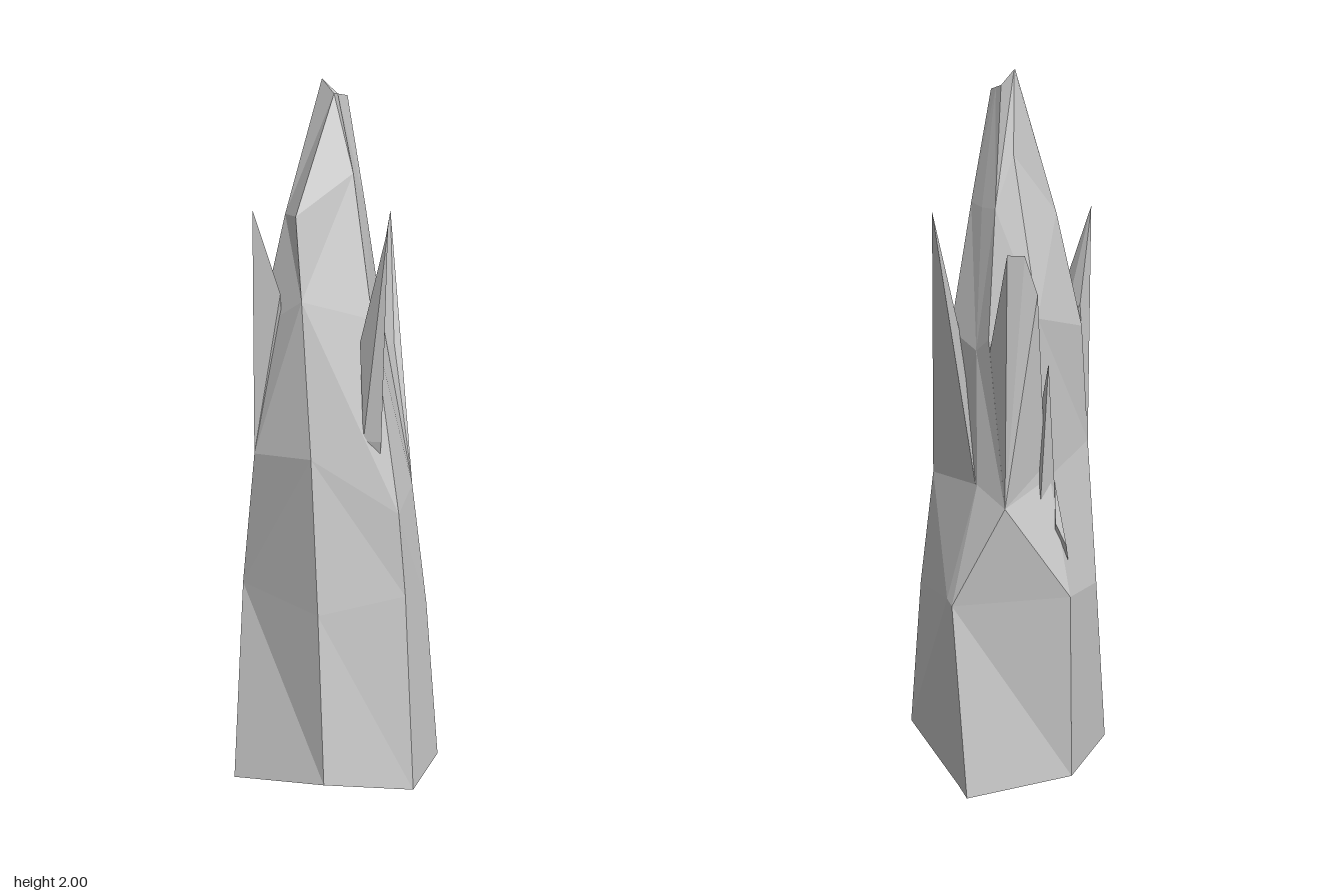
import * as THREE from 'three';
import { ConvexGeometry } from 'three/addons/geometries/ConvexGeometry.js';

const material = new THREE.MeshStandardMaterial({ color: 0xcccccc, flatShading: true, side: THREE.DoubleSide });

// Seven-sided cross-sections from the ground up; each corner is [x, y, z], in the
// order right, front right, front left, left, back left, back, back right.
const RINGS = [
  [[0.335, 0.02, 0], [0.2, 0.05, 0.215], [-0.11, 0, 0.29], [-0.292, 0.015, 0.04], [-0.22, 0, -0.27], [-0.16, 0.01, -0.262], [0.225, 0.04, -0.21]],
  [[0.298, 0.57, 0], [0.155, 0.52, 0.197], [-0.19, 0.55, 0.19], [-0.332, 0.59, 0], [-0.175, 0.57, -0.287], [-0.14, 0.58, -0.282], [0.2, 0.5, -0.182]],
  [[0.28, 0.8, 0.01], [0.113, 0.95, 0.185], [-0.08, 0.95, 0.23], [-0.255, 0.92, -0.02], [-0.28, 0.86, -0.18], [-0.16, 0.9, -0.195], [0.17, 0.85, -0.15]],
  [[0.17, 1.33, 0.01], [0.067, 1.38, 0.178], [-0.12, 1.3, 0.175], [-0.245, 1.36, -0.055], [-0.165, 1.3, -0.16], [-0.1, 1.26, -0.16], [0.03, 1.3, -0.165]],
  [[0.08, 1.73, 0], [0.04, 1.61, 0.175], [-0.09, 1.62, 0.105], [-0.115, 1.78, -0.05], [-0.115, 1.64, -0.108], [-0.05, 1.64, -0.11], [0.015, 1.65, -0.105]],
  [[0.015, 1.95, 0], [0.005, 1.95, 0.005], [-0.075, 2, -0.02], [-0.085, 2, -0.03], [-0.06, 1.96, -0.055], [-0.03, 1.955, -0.053], [0, 1.95, -0.05]],
];

// Which way each facet is split, one row per band and one digit per side
const SPLITS = ['0000010', '0100000', '0101010', '1010101', '0101010'];

// Skins the cross-sections with flat triangles and closes both ends
function loft(rings) {
  const pos = [];
  const tri = (a, b, c) => pos.push(...a, ...b, ...c);
  const n = rings[0].length;
  for (let r = 0; r < rings.length - 1; r++) {
    for (let i = 0; i < n; i++) {
      const j = (i + 1) % n;
      const a = rings[r][i], b = rings[r][j], c = rings[r + 1][j], d = rings[r + 1][i];
      if (SPLITS[r][i] === '1') { tri(b, a, d); tri(b, d, c); }
      else { tri(b, a, c); tri(a, d, c); }
    }
  }
  const low = rings[0], high = rings[rings.length - 1];
  for (let i = 1; i < n - 1; i++) {
    tri(low[0], low[i], low[i + 1]);
    tri(high[0], high[i + 1], high[i]);
  }
  const g = new THREE.BufferGeometry();
  g.setAttribute('position', new THREE.Float32BufferAttribute(pos, 3));
  g.computeVertexNormals();
  return g;
}

// Pointed splinters, each the hull of a few corners
const SPLINTERS = {
  frontSplinter: [[-0.08, 1.63, 0.23], [-0.015, 1.4, 0.185], [-0.11, 1.36, 0.175], [-0.05, 1.22, 0.2], [-0.08, 0.95, 0.23], [-0.06, 1.25, 0.14]],
  backSplinter: [[-0.04, 1.635, -0.258], [0.06, 1.25, -0.18], [-0.04, 1.2, -0.21], [0.17, 0.85, -0.15], [-0.15, 0.9, -0.195], [0, 1.2, -0.13]],
  rightSplinter: [[0.283, 1.58, 0.06], [0.165, 1.33, 0.03], [0.18, 1.27, 0.065], [0.24, 1, 0.04], [0.2, 1, 0.07], [0.22, 0.92, 0.03]],
  leftSplinter: [[-0.32, 1.54, -0.145], [-0.288, 1.54, -0.178], [-0.335, 1.44, -0.115], [-0.165, 1.25, -0.16], [-0.255, 1.3, -0.06], [-0.25, 0.92, -0.03], [-0.28, 0.86, -0.18]],
  leftLowerSplinter: [[-0.305, 1.25, -0.06], [-0.25, 1.2, -0.03], [-0.25, 0.88, 0], [-0.27, 0.85, -0.06], [-0.22, 1, -0.05]],
  leftChip: [[-0.312, 0.73, 0], [-0.3, 0.8, -0.03], [-0.25, 0.9, 0], [-0.29, 0.68, 0.02], [-0.24, 0.7, 0]],
};

export function createModel() {
  const group = new THREE.Group();
  group.name = 'rockSpire';

  // Main faceted column tapering to a slanted peak
  const column = new THREE.Mesh(loft(RINGS), material);
  column.name = 'column';
  group.add(column);

  // Splinters breaking away around the column
  for (const [name, corners] of Object.entries(SPLINTERS)) {
    const points = corners.map((c) => new THREE.Vector3(...c));
    const splinter = new THREE.Mesh(new ConvexGeometry(points), material);
    splinter.name = name;
    group.add(splinter);
  }
  return group;
}
